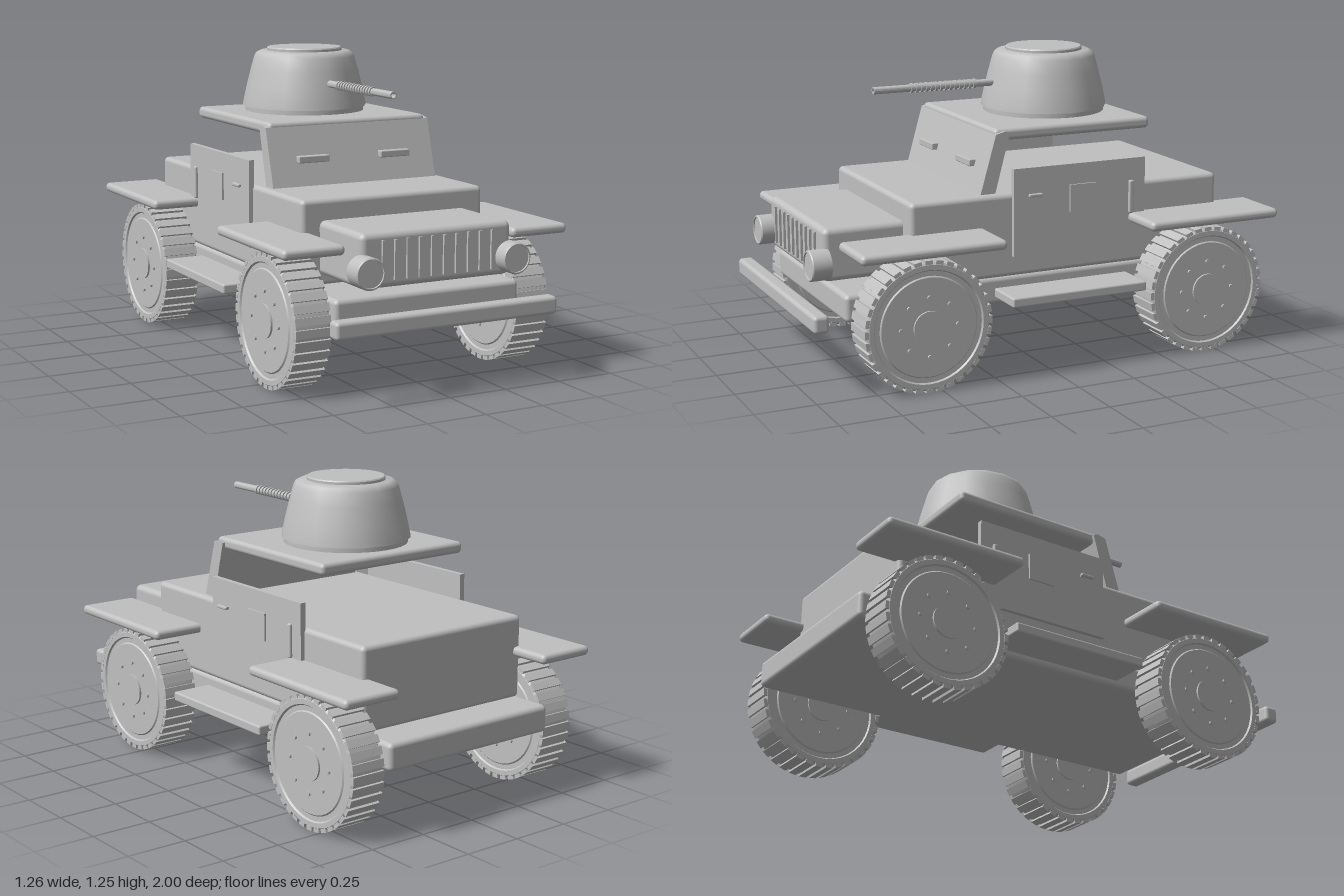
import * as THREE from 'three';
import { toCreasedNormals } from 'three/addons/utils/BufferGeometryUtils.js';
import { RoundedBoxGeometry } from 'three/addons/geometries/RoundedBoxGeometry.js';

const grey = new THREE.MeshStandardMaterial({ color: 0xc0c0c0 });
grey.name = 'plainGrey';

function add(parent, name, geometry, x = 0, y = 0, z = 0) {
  const mesh = new THREE.Mesh(geometry, grey);
  mesh.name = name;
  mesh.position.set(x, y, z);
  parent.add(mesh);
  return mesh;
}

// Box given by its limits on each axis, with optional rounded edges
function block(parent, name, [x0, x1], [y0, y1], [z0, z1], r = 0) {
  const size = [x1 - x0, y1 - y0, z1 - z0];
  const geometry = r ? new RoundedBoxGeometry(...size, 3, r) : new THREE.BoxGeometry(...size);
  return add(parent, name, geometry, (x0 + x1) / 2, (y0 + y1) / 2, (z0 + z1) / 2);
}

// Solid of revolution about y with crisp edges
function lathe(points, sides, crease = 0.6) {
  const profile = points.map(([r, y]) => new THREE.Vector2(r, y));
  return toCreasedNormals(new THREE.LatheGeometry(profile, sides), crease);
}

// Wheel with axle along x: tyre, tread lugs, hubs and bolts on both faces
function makeWheel(name, x, z) {
  const wheel = new THREE.Group();
  wheel.name = name;
  wheel.position.set(x, 0.27, z);

  const tyre = lathe([[0, -0.073], [0.2, -0.073], [0.205, -0.068], [0.225, -0.068], [0.23, -0.075],
    [0.25, -0.075], [0.258, -0.068], [0.258, 0.068], [0.25, 0.075], [0.23, 0.075],
    [0.225, 0.068], [0.205, 0.068], [0.2, 0.073], [0, 0.073]], 48);
  add(wheel, 'tyre', tyre.rotateZ(-Math.PI / 2));

  const lug = new THREE.BoxGeometry(0.15, 0.016, 0.031);
  const lugs = 36;
  for (let i = 0; i < lugs; i++) {
    const a = (i / lugs) * Math.PI * 2;
    const mesh = add(wheel, 'treadLug', lug, 0, Math.cos(a) * 0.259, Math.sin(a) * 0.259);
    mesh.rotation.x = a;
  }

  add(wheel, 'hub', new THREE.CylinderGeometry(0.067, 0.067, 0.162, 32).rotateZ(Math.PI / 2));
  const bolt = new THREE.CylinderGeometry(0.009, 0.009, 0.162, 10).rotateZ(Math.PI / 2);
  for (let i = 0; i < 8; i++) {
    const a = (i / 8) * Math.PI * 2;
    add(wheel, 'wheelBolt', bolt, 0, Math.cos(a) * 0.12, Math.sin(a) * 0.12);
  }
  return wheel;
}

// Parts repeated on each side; s is +1 for left and -1 for right
function makeSide(s) {
  const side = new THREE.Group();
  side.name = s > 0 ? 'leftSide' : 'rightSide';
  const span = (a, b) => (s > 0 ? [a, b] : [-b, -a]);

  block(side, 'frontFender', span(0.37, 0.63), [0.56, 0.6], [0.25, 0.855], 0.018);
  block(side, 'rearFender', span(0.37, 0.63), [0.56, 0.6], [-1, -0.395], 0.018);
  block(side, 'runningBoard', span(0.36, 0.58), [0.305, 0.345], [-0.4, 0.205], 0.008);

  block(side, 'door', span(0.405, 0.428), [0.47, 0.83], [-0.47, 0.13]);
  block(side, 'doorHatch', span(0.42, 0.436), [0.632, 0.745], [-0.242, -0.12]);
  block(side, 'doorHandle', span(0.435, 0.449), [0.712, 0.726], [0.008, 0.07], 0.005);
  block(side, 'handleStem', span(0.42, 0.442), [0.714, 0.724], [0.012, 0.022]);
  block(side, 'grabBar', span(0.42, 0.44), [0.6, 0.738], [-0.415, -0.393], 0.006);

  side.add(makeWheel('frontWheel', s * 0.49, 0.557));
  side.add(makeWheel('rearWheel', s * 0.49, -0.698));

  // Headlight with a raised rim
  const lamp = lathe([[0, -0.04], [0.062, -0.04], [0.062, 0.035], [0.058, 0.04],
    [0.054, 0.04], [0.053, 0.034], [0, 0.034]], 32);
  add(side, 'headlight', lamp.rotateX(Math.PI / 2), s * 0.322, 0.503, 0.922);

  block(side, 'visionSlot', span(0.12, 0.258), [0.82, 0.848], [0.205, 0.248], 0.004);
  return side;
}

// Sloping windscreen plate extruded across the body
function makeWindscreen() {
  const shape = new THREE.Shape([[0.255, 0.72], [0.19, 0.72], [0.125, 0.965], [0.145, 0.975], [0.185, 0.965]]
    .map(([z, y]) => new THREE.Vector2(-z, y)));
  const geometry = new THREE.ExtrudeGeometry(shape, { depth: 0.756, bevelEnabled: false });
  return geometry.rotateY(Math.PI / 2).translate(-0.378, 0, 0);
}

function makeTurret() {
  const turret = new THREE.Group();
  turret.name = 'turret';
  turret.position.z = -0.215;
  add(turret, 'turretRing', new THREE.CylinderGeometry(0.255, 0.255, 0.035, 32), 0, 0.993, 0);

  const shell = lathe([[0, 1.004], [0.266, 1.004], [0.264, 1.02], [0.249, 1.09], [0.231, 1.16],
    [0.216, 1.215], [0.207, 1.232], [0.19, 1.24], [0, 1.24]], 16, 0.8);
  add(turret, 'turretShell', shell);
  add(turret, 'turretHatch', lathe([[0, 1.235], [0.161, 1.235], [0.161, 1.25], [0.157, 1.255], [0, 1.255]], 40));

  // Gun barrel, hollow at the muzzle, with cooling rings
  const barrel = lathe([[0, 0.1], [0.015, 0.1], [0.015, 0.772], [0.01, 0.772], [0.01, 0.74], [0, 0.74]], 16);
  add(turret, 'gunBarrel', barrel.rotateX(Math.PI / 2), 0, 1.112, 0);
  const ring = new THREE.CylinderGeometry(0.02, 0.02, 0.011, 16).rotateX(Math.PI / 2);
  for (let i = 0; i < 14; i++) add(turret, 'barrelRing', ring, 0, 1.112, 0.325 + i * 0.0215);
  return turret;
}

export function createModel() {
  const model = new THREE.Group();
  model.name = 'armouredCar';

  // Hull
  block(model, 'chassis', [-0.41, 0.41], [0.278, 0.39], [-0.99, 0.843], 0.02);
  block(model, 'body', [-0.41, 0.41], [0.385, 0.727], [-0.828, 0.568], 0.02);
  block(model, 'hood', [-0.332, 0.332], [0.43, 0.643], [0.5, 0.9], 0.025);
  block(model, 'frontBumper', [-0.488, 0.488], [0.275, 0.346], [0.936, 1], 0.016);

  // Grille bars
  for (let i = 0; i < 10; i++) {
    const x = (i - 4.5) * 0.0535;
    block(model, 'grilleBar', [x - 0.005, x + 0.005], [0.46, 0.615], [0.88, 0.91]);
  }

  // Cabin
  add(model, 'windscreen', makeWindscreen());
  block(model, 'roof', [-0.365, 0.365], [0.935, 0.984], [-0.525, 0.185], 0.018);
  model.add(makeTurret(), makeSide(1), makeSide(-1));
  return model;
}
